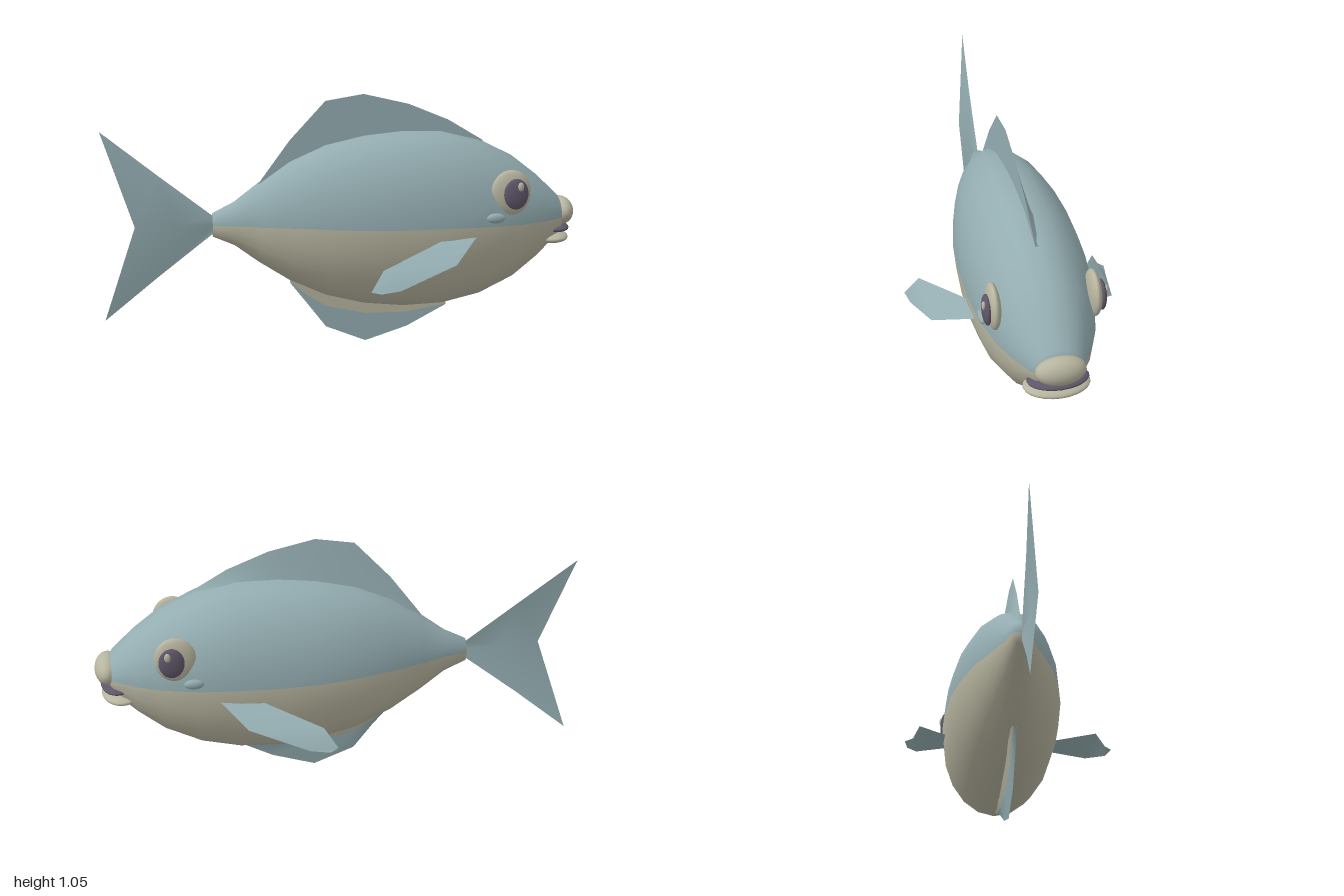
import * as THREE from 'three';

const MID = -0.02; // z of the body's centre plane

const mat = (name, color, side = THREE.FrontSide) => {
  const m = new THREE.MeshStandardMaterial({ color, side });
  m.name = name;
  return m;
};

function mesh(name, geometry, material) {
  const m = new THREE.Mesh(geometry, material);
  m.name = name;
  return m;
}

function surface(points, index) {
  const g = new THREE.BufferGeometry();
  g.setAttribute('position', new THREE.Float32BufferAttribute(points.flat(), 3));
  g.setIndex(index);
  g.computeVertexNormals();
  return g;
}

// Sheet through rows of points, all rows of the same length
function sheet(rows) {
  const n = rows[0].length, index = [];
  for (let r = 0; r < rows.length - 1; r++) {
    for (let i = 0; i < n - 1; i++) {
      const a = r * n + i, b = a + n;
      index.push(a, a + 1, b + 1, a, b + 1, b);
    }
  }
  return surface(rows.flat(), index);
}

function ellipsoid(name, material, [x, y, z], [rx, ry, rz]) {
  const m = mesh(name, new THREE.SphereGeometry(1, 24, 16), material);
  m.position.set(x, y, z);
  m.scale.set(rx, ry, rz);
  return m;
}

// Body cross-sections: x, top y, bottom y, half width
const SECTIONS = [
  [-0.55, 0.58, 0.48, 0.035], [-0.46, 0.625, 0.44, 0.06], [-0.36, 0.70, 0.365, 0.105],
  [-0.23, 0.79, 0.28, 0.16], [-0.08, 0.855, 0.21, 0.205], [0.08, 0.89, 0.168, 0.235],
  [0.24, 0.905, 0.15, 0.245], [0.41, 0.90, 0.155, 0.246], [0.57, 0.86, 0.19, 0.23],
  [0.72, 0.785, 0.26, 0.195], [0.83, 0.70, 0.345, 0.15], [0.92, 0.615, 0.435, 0.10],
  [0.94, 0.58, 0.47, 0.06],
];

function bodyGeometry() {
  const N = 20, points = [], upper = [], lower = [];
  SECTIONS.forEach(([x, top, bottom, w]) => {
    for (let j = 0; j < N; j++) {
      const a = (j / N) * Math.PI * 2;
      points.push([x, (top + bottom) / 2 + ((top - bottom) / 2) * Math.sin(a), MID + w * Math.cos(a)]);
    }
  });
  const last = SECTIONS.length - 1;
  const tailCentre = points.push([-0.55, 0.53, MID]) - 1;
  const noseCentre = points.push([0.94, 0.525, MID]) - 1;
  for (let j = 0; j < N; j++) {
    const k = (j + 1) % N, out = j < N / 2 ? upper : lower;
    for (let i = 0; i < last; i++) {
      const a = i * N + j, b = i * N + k;
      out.push(a, a + N, b + N, a, b + N, b);
    }
    out.push(tailCentre, j, k, noseCentre, last * N + k, last * N + j);
  }
  const g = surface(points, [...upper, ...lower]);
  g.addGroup(0, upper.length, 0);
  g.addGroup(upper.length, lower.length, 1);
  return g;
}

export function createModel() {
  const fish = new THREE.Group();
  fish.name = 'fish';
  const blue = mat('blueGrey', 0x94adb1);
  const cream = mat('cream', 0xb7b49f);
  const plum = mat('darkPlum', 0x5e5669);
  const fin = mat('finBlueGrey', 0x94adb1, THREE.DoubleSide);
  const finBase = mat('finBaseCream', 0xb7b49f, THREE.DoubleSide);

  fish.add(mesh('body', bodyGeometry(), [blue, cream]));

  // Forked tail, curved a little sideways
  fish.add(mesh('tailFin', sheet([
    [[-0.54, 0.56, MID], [-0.775, 0.745, -0.03], [-1, 0.925, -0.045]],
    [[-0.54, 0.53, MID], [-0.7, 0.535, -0.005], [-0.87, 0.535, 0.003]],
    [[-0.54, 0.50, MID], [-0.775, 0.318, -0.03], [-1, 0.135, -0.045]],
  ]), fin));

  // Back fin: x, base y, edge y; a wedge closing to a thin edge
  const back = [[-0.36, 0.68, 0.70], [-0.23, 0.78, 0.875], [-0.08, 0.84, 1.035], [0.08, 0.875, 1.06],
    [0.27, 0.89, 1.015], [0.44, 0.885, 0.945], [0.59, 0.84, 0.855]];
  // Belly fin: x, base y, end of cream strip, edge y
  const belly = [[-0.23, 0.30, 0.275, 0.27], [-0.16, 0.26, 0.215, 0.18], [-0.08, 0.23, 0.165, 0.075],
    [0.09, 0.18, 0.125, 0.005], [0.27, 0.165, 0.122, 0.06], [0.44, 0.17, 0.15, 0.147]];
  for (const s of [1, -1]) {
    const wedge = (x, y, t) => [x, y, MID + 0.015 * t + s * 0.015 * (1 - t)];
    fish.add(mesh('backFin', sheet([0, 0.4, 1].map((t) =>
      back.map(([x, b, e]) => wedge(x, b + (e - b) * t, t)))), fin));
    fish.add(mesh('bellyFinBase', sheet([
      belly.map(([x, b]) => wedge(x, b, 0)), belly.map(([x, , m]) => wedge(x, m, 0.5))]), finBase));
    fish.add(mesh('bellyFin', sheet([
      belly.map(([x, , m]) => wedge(x, m, 0.5)), belly.map(([x, , , e]) => wedge(x, e, 1))]), fin));
  }

  for (const s of [1, -1]) {
    const side = s > 0 ? 'left' : 'right';
    // Side fin bent downwards at the tip
    const outline = [[0.51, 0.485, 0.215], [0.37, 0.478, 0.215], [0.09, 0.40, 0.365], [0.035, 0.32, 0.392],
      [0.07, 0.32, 0.425], [0.15, 0.325, 0.412], [0.39, 0.41, 0.365]]
      .map(([x, y, z]) => [x, y, -0.007 + s * (z + 0.007)]);
    const index = [0, 1, 2, 0, 2, 6, 6, 2, 5, 2, 3, 5, 3, 4, 5];
    if (s > 0) index.reverse();
    fish.add(mesh(side + 'SideFin', surface(outline, index), fin));

    // Eye with pupil, glint and a small cheek spot
    const at = (x, y, z) => [x, y, MID + s * z];
    fish.add(ellipsoid(side + 'Eye', cream, at(0.665, 0.66, 0.195), [0.085, 0.095, 0.028]));
    fish.add(ellipsoid(side + 'Pupil', plum, at(0.68, 0.658, 0.222), [0.052, 0.064, 0.018]));
    fish.add(ellipsoid(side + 'Glint', cream, at(0.695, 0.69, 0.236), [0.013, 0.019, 0.008]));
    fish.add(ellipsoid(side + 'CheekSpot', blue, at(0.595, 0.56, 0.225), [0.04, 0.021, 0.014]));
  }

  // Nose and lips
  fish.add(ellipsoid('nose', cream, [0.943, 0.54, MID], [0.052, 0.06, 0.098]));
  fish.add(ellipsoid('upperLip', plum, [0.905, 0.474, MID], [0.07, 0.021, 0.12]));
  fish.add(ellipsoid('lowerLip', cream, [0.887, 0.433, MID], [0.086, 0.027, 0.13]));
  return fish;
}
